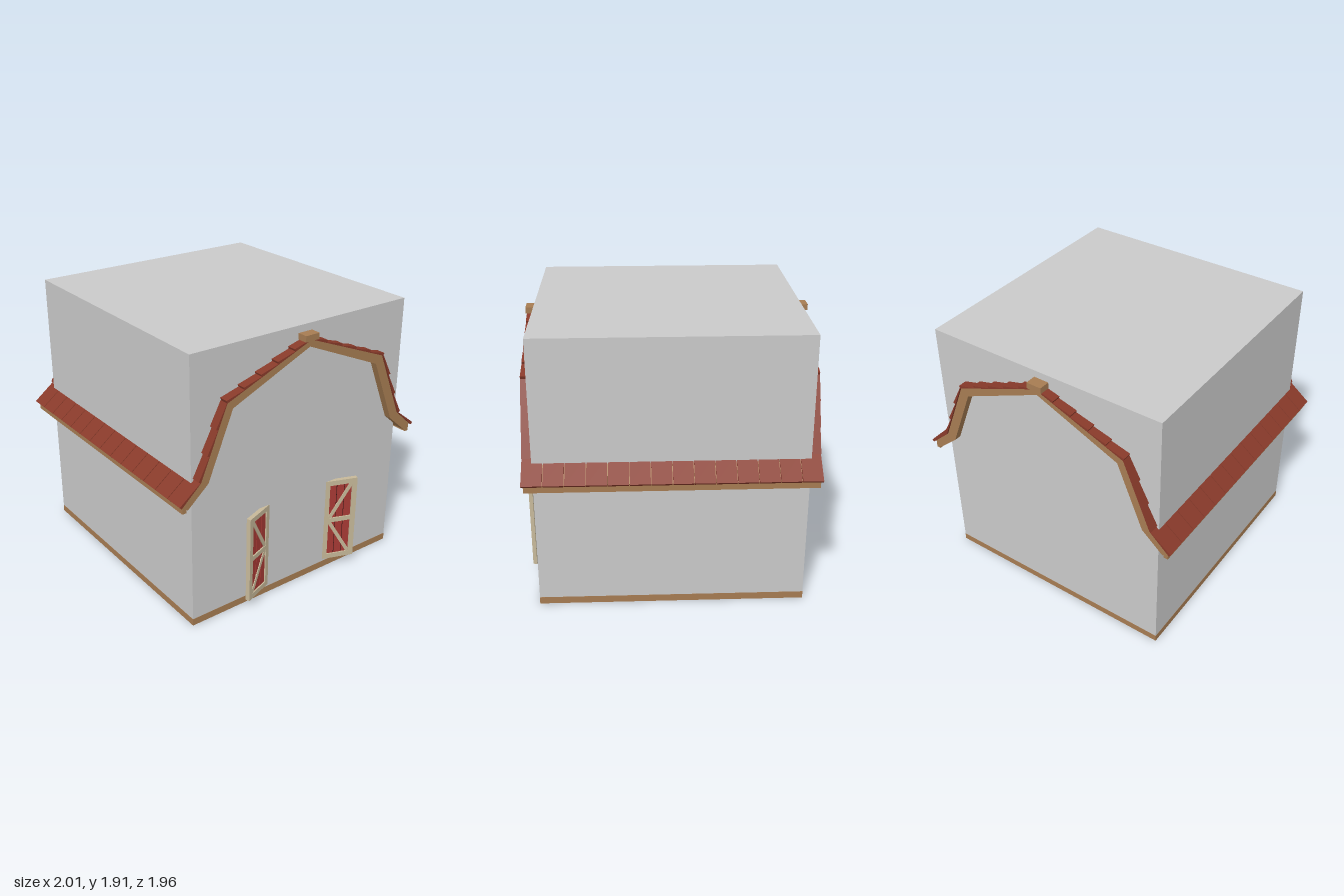
import * as THREE from 'three';

const mat = (name, color) => {
  const m = new THREE.MeshStandardMaterial({ color });
  m.name = name;
  return m;
};

export function createModel() {
  const wall = mat('wallGrey', 0xcacaca);
  const wood = mat('wood', 0xa67c52);
  const tile = mat('roofTileRed', 0x883a2a);
  const cream = mat('doorTrim', 0xc6b899);
  const red = mat('doorRed', 0xa83a35);
  const dark = mat('doorGap', 0x3a1614);

  const model = new THREE.Group();
  model.name = 'barn';

  const add = (parent, name, geometry, material, x = 0, y = 0, z = 0) => {
    const m = new THREE.Mesh(geometry, material);
    m.name = name;
    m.position.set(x, y, z);
    parent.add(m);
    return m;
  };
  const box = (parent, name, material, w, h, d, x, y, z) =>
    add(parent, name, new THREE.BoxGeometry(w, h, d), material, x, y, z);
  // Extrude an outline along z, centred on z
  const prism = (parent, name, material, pts, depth, z) => {
    const shape = new THREE.Shape(pts.map(([x, y]) => new THREE.Vector2(x, y)));
    const g = new THREE.ExtrudeGeometry(shape, { depth, bevelEnabled: false });
    return add(parent, name, g, material, 0, 0, z - depth / 2);
  };

  // Solid body on a wooden sill
  box(model, 'body', wall, 1.758, 1.86, 1.808, 0, 0.98, -0.005);
  box(model, 'sill', wood, 1.76, 0.05, 1.81, 0, 0.025, -0.005);

  // One half of the gambrel roof, turned around for the other side
  const outer = [[0, 1.825], [0.652, 1.565], [0.848, 1.09], [0.985, 0.965]];
  const inner = [[0.94, 0.925], [0.785, 1.06], [0.6, 1.515], [0, 1.775]];
  const rowsPerSlope = [5, 3, 1];
  const tiles = 14, roofLength = 1.94, pitch = roofLength / tiles;

  for (const side of [0, 1]) {
    const half = new THREE.Group();
    half.name = side ? 'roofRight' : 'roofLeft';
    half.rotation.y = side * Math.PI;
    half.position.z = -0.005;
    model.add(half);
    prism(half, 'rafters', wood, [...outer, ...inner], 1.91, 0);
    box(half, 'eaveBeam', wood, 0.03, 0.05, 1.91, 0.965, 0.935, 0);

    // Overlapping tile rows, thicker at their lower edge
    rowsPerSlope.forEach((rows, i) => {
      const a = new THREE.Vector2(...outer[i]);
      const b = new THREE.Vector2(...outer[i + 1]);
      const dir = b.clone().sub(a).normalize();
      if (i === 2) b.addScaledVector(dir, 0.012);
      const n = new THREE.Vector2(-dir.y, dir.x);
      for (let r = 0; r < rows; r++) {
        const p = a.clone().lerp(b, r / rows);
        const q = a.clone().lerp(b, (r + 1) / rows);
        const pts = [p, q, q.clone().addScaledVector(n, 0.02), p.clone().addScaledVector(n, 0.004)];
        for (let t = 0; t < tiles; t++) {
          prism(half, 'roofTile', tile, pts.map(v => [v.x, v.y]), pitch - 0.005,
            (t + 0.5) * pitch - roofLength / 2);
        }
      }
    });
  }
  box(model, 'ridgeCap', wood, 0.11, 0.042, 1.955, 0, 1.84, -0.007);

  // Double doors standing ajar
  const W = 0.24, H = 0.635, trim = 0.037, T = 0.03;
  for (const s of [1, -1]) {
    const door = new THREE.Group();
    door.name = s > 0 ? 'leftDoor' : 'rightDoor';
    door.position.set(s * 0.367, 0.3825, 0.925);
    door.rotation.y = -s * 0.35;
    model.add(door);
    box(door, 'doorCore', dark, W - trim, H - trim, 0.004, 0, 0, 0);
    for (const k of [-1, 0, 1]) {
      box(door, 'plank', red, 0.051, H - trim, 0.012, k * 0.057, 0, 0);
    }
    for (const k of [-1, 1]) {
      box(door, 'stile', cream, trim, H, T, k * (W - trim) / 2, 0, 0);
      box(door, 'rail', cream, W - 2 * trim, trim, T, 0, k * (H - trim) / 2, 0);
      // Brace from the middle rail at the inner edge to the outer corner
      const dx = W - 2 * trim, dy = H / 2 - trim;
      const brace = box(door, 'brace', cream, 0.026, Math.hypot(dx, dy), T - 0.006, 0, k * (dy / 2 + 0.005), 0);
      brace.rotation.z = -s * k * Math.atan2(dx, dy);
    }
    box(door, 'middleRail', cream, W - 2 * trim, 0.034, T, 0, 0, 0);
  }
  return model;
}
